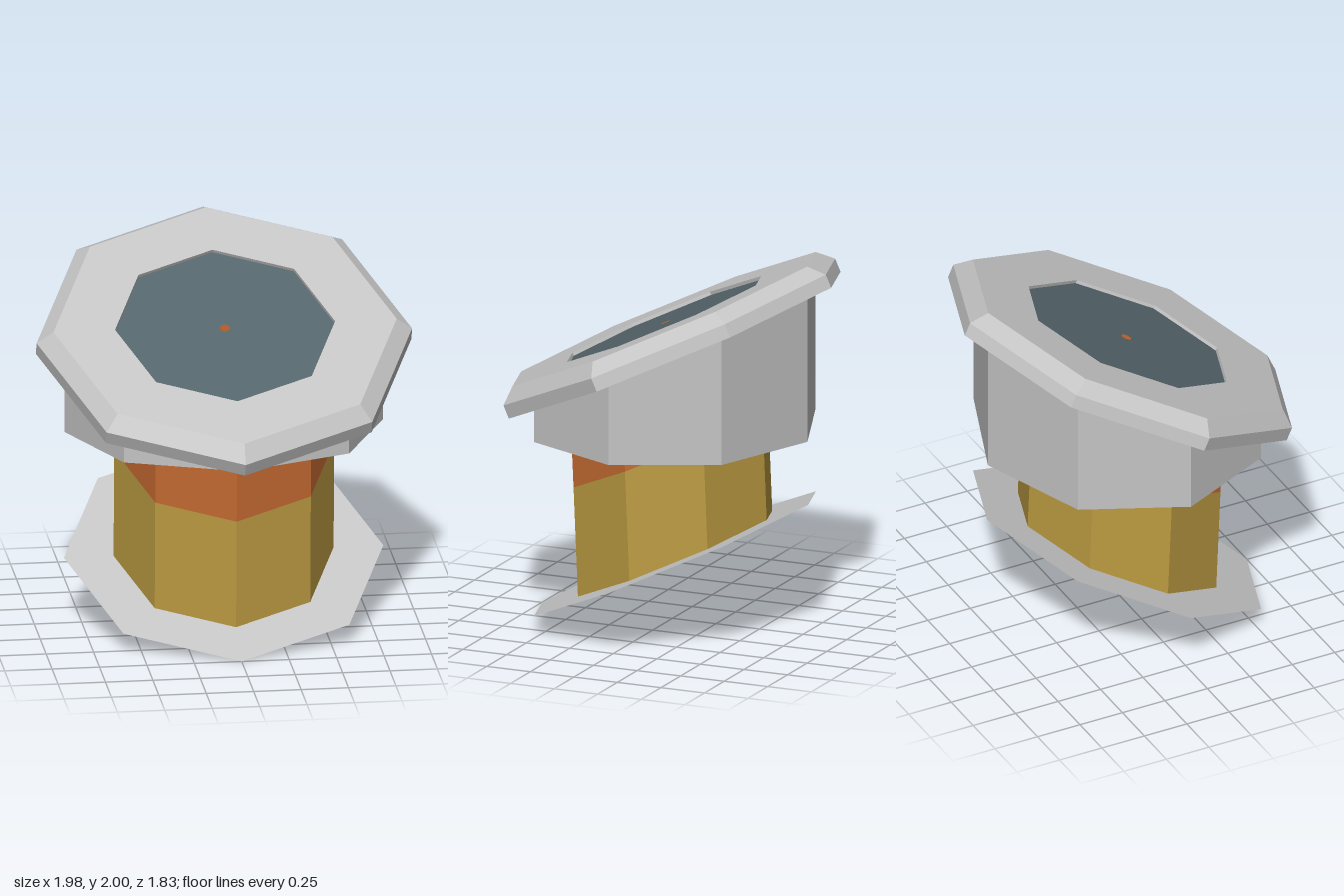
import * as THREE from 'three';

const SIDES = 8;
const TILT = 0.433; // slope of the slanted planes, lower at the front
const S = Math.sin(TILT), C = Math.cos(TILT);

const material = (name, color) => {
  const m = new THREE.MeshStandardMaterial({ color, flatShading: true, side: THREE.DoubleSide });
  m.name = name;
  return m;
};

// Octagonal section on the slanted plane, centred at height y and depth z
function slanted(r, y, z) {
  return Array.from({ length: SIDES }, (_, i) => {
    const a = (i / SIDES) * Math.PI * 2;
    return [r * Math.sin(a), y - r * Math.cos(a) * S, z + r * Math.cos(a) * C];
  });
}

// The same section pressed flat to one height
const level = (r, y, z) => slanted(r, y, z).map((p) => [p[0], y, p[2]]);

// Skin of flat quads joining successive sections
function loft(name, mat, sections) {
  const pos = [];
  for (let s = 0; s + 1 < sections.length; s++) {
    const lo = sections[s], hi = sections[s + 1];
    for (let i = 0; i < SIDES; i++) {
      const j = (i + 1) % SIDES;
      for (const p of [lo[i], lo[j], hi[j], lo[i], hi[j], hi[i]]) pos.push(...p);
    }
  }
  const geo = new THREE.BufferGeometry();
  geo.setAttribute('position', new THREE.Float32BufferAttribute(pos, 3));
  geo.computeVertexNormals();
  const mesh = new THREE.Mesh(geo, mat);
  mesh.name = name;
  return mesh;
}

export function createModel() {
  const grey = material('light grey', 0xc4c4c4);
  const slate = material('dark slate', 0x54646b);
  const gold = material('gold', 0xbb9b41);
  const orange = material('orange', 0xc46a31);

  const base = slanted(0.58, 0.355, -0.015);
  const seam = slanted(0.58, 0.945, 0.01);
  const seat = slanted(0.58, 1.606, 0.04);

  const group = new THREE.Group();
  group.name = 'slantedCap';
  group.add(
    // thin flange around the open foot of the tube
    loft('bottomFlange', grey, [slanted(0.842, 0.355, -0.015), base]),
    // open tube in two colours
    loft('lowerTube', gold, [base, seam]),
    loft('upperTube', orange, [seam, seat]),
    // upright collar, cut level below and slanted above
    loft('collar', grey, [level(0.84, 1.05, -0.013), slanted(0.84, 1.487, -0.013)]),
    // bevelled rim with a shallow recess in its top
    loft('rim', grey, [
      slanted(0.84, 1.487, -0.013),
      slanted(0.99, 1.487, -0.013),
      slanted(0.99, 1.555, 0.018),
      slanted(0.905, 1.622, 0.048),
      slanted(0.58, 1.622, 0.048),
      seat,
    ]),
    // recessed lid with a pinhole
    loft('lid', slate, [seat, slanted(0.028, 1.606, 0.04)]),
  );
  return group;
}
